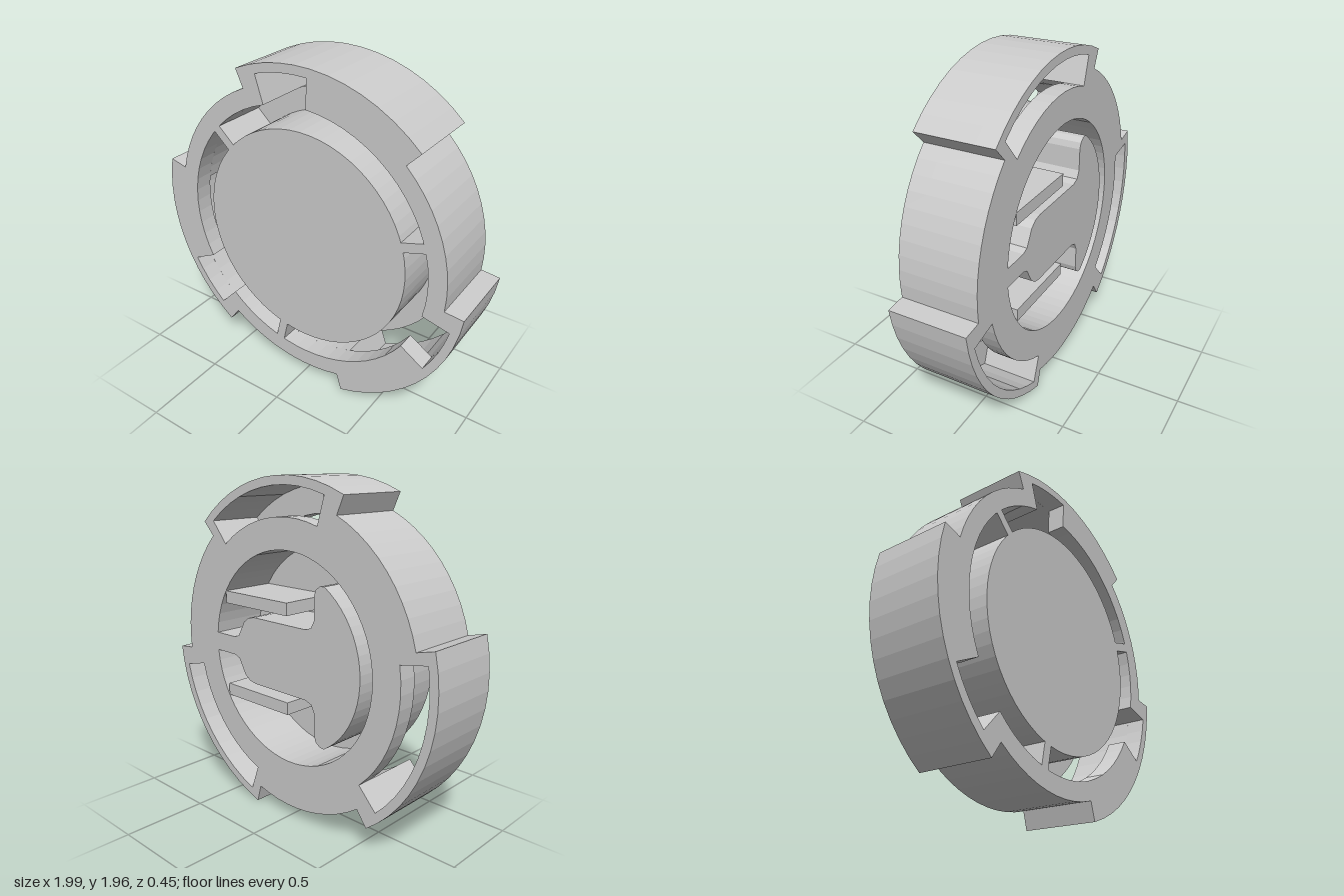
import * as THREE from 'three';

const DEG = Math.PI / 180;
const CENTRE_Y = 0.965;
const Z = [-0.225, -0.115, 0.115, 0.225]; // layer boundaries, back to front
const R = { lug: 1, slot: 0.95, body: 0.89, groove: 0.785, cup: 0.655, bore: 0.61, core: 0.53 };

// points on an arc, angles in degrees
function arc(r, a0, a1) {
  const n = Math.max(2, Math.ceil(Math.abs(a1 - a0) / 5.7));
  return Array.from({ length: n + 1 }, (_, i) => {
    const a = (a0 + ((a1 - a0) * i) / n) * DEG;
    return new THREE.Vector2(r * Math.cos(a), r * Math.sin(a));
  });
}

const circle = (r) => arc(r, 0, 360).slice(0, -1);

// circle of radius r that steps to radius high between a0 and a1, three times round
function stepped(r, high, a0, a1) {
  const pts = [];
  for (let k = 0; k < 3; k++) {
    const t = k * 120;
    pts.push(...arc(high, a0 + t, a1 + t), ...arc(r, a1 + t, a0 + t + 120));
  }
  return pts;
}

function slab(name, outline, holes, z0, z1) {
  const shape = outline instanceof THREE.Shape ? outline : new THREE.Shape(outline);
  for (const h of holes) shape.holes.push(new THREE.Path(h));
  const geo = new THREE.ExtrudeGeometry(shape, { depth: z1 - z0, bevelEnabled: false, curveSegments: 8 });
  geo.translate(0, 0, z0);
  return part(name, geo);
}

function part(name, geo) {
  const mesh = new THREE.Mesh(geo, new THREE.MeshStandardMaterial({ color: 0xcccccc }));
  mesh.name = name;
  return mesh;
}

// grip outline: wide rounded end, waist and a narrow neck that meets the bore
function gripShape() {
  const upper = [
    [0.612, 0.055], [0.45, 0.055], [0.41, 0.07], [0.36, 0.16], [0.32, 0.19], [0.27, 0.2],
    [-0.14, 0.2], [-0.185, 0.215], [-0.208, 0.26], [-0.208, 0.39], [-0.22, 0.425], [-0.25, 0.447],
  ].map(([x, y]) => new THREE.Vector2(x, y));
  const end = arc(R.core, 122, 238);
  const lower = upper.map((p) => new THREE.Vector2(p.x, -p.y)).reverse();
  return [...upper, ...end, ...lower];
}

export function createModel() {
  const group = new THREE.Group();
  const wheel = new THREE.Group();
  wheel.name = 'bayonetCap';
  wheel.position.y = CENTRE_Y;
  group.add(wheel);

  const rim = () => stepped(R.body, R.lug, 46, 114);

  // outer ring in three layers: entry windows in front, locking slots behind
  wheel.add(slab('frontRing', rim(), [stepped(R.groove, R.slot, 87, 107)], Z[2], Z[3]));
  wheel.add(slab('ringWall', rim(), [stepped(R.groove, R.slot, 50, 107)], Z[1], Z[2]));
  const slots = [0, 120, 240].map((t) => [
    ...arc(R.slot, 50 + t, 107 + t),
    ...arc(R.groove, 107 + t, 50 + t),
  ]);
  wheel.add(slab('backFlange', rim(), [circle(R.bore), ...slots], Z[0], Z[1]));

  // central cup, closed at the front
  wheel.add(slab('cupWall', circle(R.cup), [circle(R.bore)], Z[1], Z[2]));
  wheel.add(slab('cupFace', circle(R.cup), [], Z[2], Z[3]));

  // ribs bridging the groove between cup and ring
  for (const a of [17, 137, 257]) {
    const geo = new THREE.BoxGeometry(0.145, 0.055, Z[3] - Z[1]);
    geo.translate((R.cup + R.groove) / 2, 0, (Z[3] + Z[1]) / 2);
    geo.rotateZ(a * DEG);
    wheel.add(part('rib', geo));
  }

  // grip and the two flat bars inside the cup
  wheel.add(slab('grip', gripShape(), [], Z[0], Z[2]));
  for (const s of [1, -1]) {
    const bar = part('gripBar', new THREE.BoxGeometry(0.515, 0.073, Z[2] - Z[0]));
    bar.position.set(0.258, s * 0.288, (Z[0] + Z[2]) / 2);
    wheel.add(bar);
  }
  return group;
}
